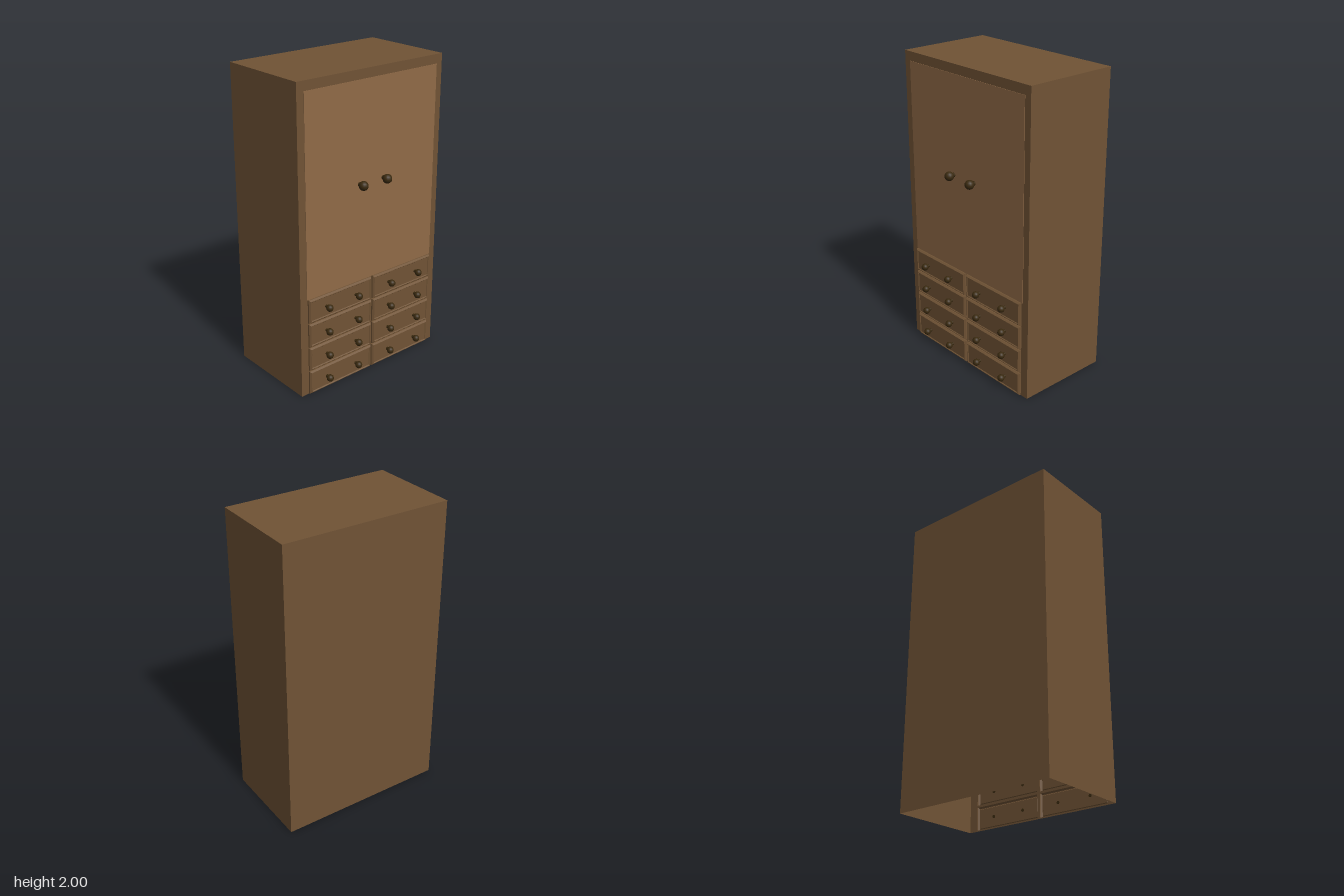
import * as THREE from 'three';

const FRONT = 0.282, BACK = -0.353, HALF = 0.565, HEIGHT = 2;

function mat(name, color, side = THREE.FrontSide) {
  const m = new THREE.MeshStandardMaterial({ color, side });
  m.name = name;
  return m;
}

// Hollow, moulded drawer front: rectangular rings of given inset and depth, closed by a panel
function drawerGeometry(w, h) {
  const rings = [[0, 0], [0, 0.01], [0.009, 0.02], [0.013, 0.02], [0.017, 0.015]];
  const corners = ([inset, z]) => {
    const x = w / 2 - inset, y = h / 2 - inset;
    return [[-x, -y, z], [x, -y, z], [x, y, z], [-x, y, z]];
  };
  const pos = [];
  const quad = (a, b, c, d) => pos.push(...a, ...b, ...c, ...a, ...c, ...d);
  for (let r = 0; r < rings.length - 1; r++) {
    const a = corners(rings[r]), b = corners(rings[r + 1]);
    for (let i = 0; i < 4; i++) {
      const j = (i + 1) % 4;
      quad(a[i], a[j], b[j], b[i]);
    }
  }
  quad(...corners(rings[rings.length - 1]));
  const g = new THREE.BufferGeometry();
  g.setAttribute('position', new THREE.Float32BufferAttribute(pos, 3));
  g.computeVertexNormals();
  return g;
}

export function createModel() {
  const group = new THREE.Group();
  group.name = 'wardrobe';
  const wood = mat('brown wood', 0x705335, THREE.DoubleSide);
  const doorWood = mat('light door wood', 0x906a47);
  const knobDark = mat('dark knob', 0x3a2a10);

  const add = (name, geometry, material, x, y, z, parent = group) => {
    const m = new THREE.Mesh(geometry, material);
    m.name = name;
    m.position.set(x, y, z);
    parent.add(m);
    return m;
  };

  // Carcass: thin shell, open underneath
  const depth = FRONT - BACK, midZ = (FRONT + BACK) / 2;
  add('backPanel', new THREE.PlaneGeometry(HALF * 2, HEIGHT), wood, 0, HEIGHT / 2, BACK).rotation.y = Math.PI;
  add('topPanel', new THREE.PlaneGeometry(HALF * 2, depth), wood, 0, HEIGHT, midZ).rotation.x = -Math.PI / 2;
  for (const s of [-1, 1]) {
    add(s > 0 ? 'leftSide' : 'rightSide', new THREE.PlaneGeometry(depth, HEIGHT), wood, s * HALF, HEIGHT / 2, midZ)
      .rotation.y = s * Math.PI / 2;
  }

  // Front frame with one opening behind each drawer
  const frame = new THREE.Shape([
    new THREE.Vector2(-HALF, 0), new THREE.Vector2(HALF, 0),
    new THREE.Vector2(HALF, HEIGHT), new THREE.Vector2(-HALF, HEIGHT),
  ]);
  const W = 0.503, H = 0.159, drawerGeo = drawerGeometry(W, H);

  // Round knob on a short stem, centred on its ball
  const knob = (name, x, y, z, r, stem) => {
    const k = new THREE.Group();
    k.name = name;
    k.position.set(x, y, z);
    group.add(k);
    add('knobBall', new THREE.SphereGeometry(r, 14, 10), knobDark, 0, 0, 0, k);
    add('knobStem', new THREE.CylinderGeometry(r * 0.45, r * 0.45, stem, 10), knobDark, 0, 0, -stem / 2, k)
      .rotation.x = Math.PI / 2;
  };

  // Two columns of four drawers
  for (let row = 0; row < 4; row++) {
    const y = 0.083 + row * 0.1655;
    for (const s of [-1, 1]) {
      const x = s * 0.258;
      add('drawerFront', drawerGeo, wood, x, y, FRONT);
      const hw = W / 2 - 0.004, hh = H / 2 - 0.004;
      frame.holes.push(new THREE.Path([
        new THREE.Vector2(x - hw, y - hh), new THREE.Vector2(x - hw, y + hh),
        new THREE.Vector2(x + hw, y + hh), new THREE.Vector2(x + hw, y - hh),
      ]));
      for (const dx of [-0.119, 0.119]) knob('drawerKnob', x + dx, y, 0.33, 0.023, 0.036);
    }
  }
  add('frontFrame', new THREE.ShapeGeometry(frame), wood, 0, 0, FRONT);

  // Pale door panel with its pair of knobs
  add('doorPanel', new THREE.BoxGeometry(1.034, 1.281, 0.004), doorWood, 0.002, 1.2995, FRONT + 0.001);
  knob('doorKnob', -0.105, 1.303, 0.323, 0.03, 0.042);
  knob('doorKnob', 0.087, 1.303, 0.323, 0.03, 0.042);

  return group;
}
